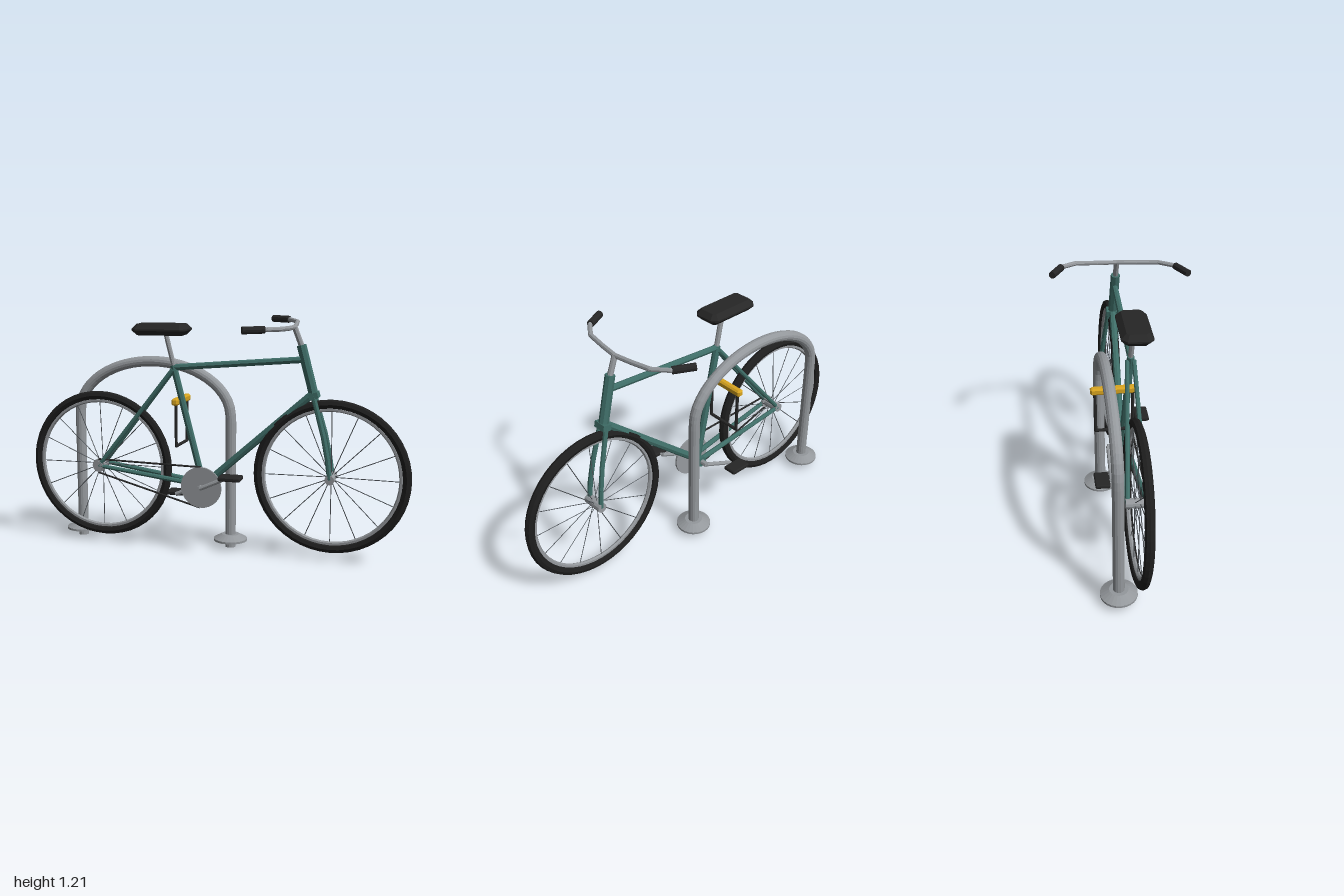
import * as THREE from 'three';

const mat = (color) => new THREE.MeshStandardMaterial({ color, flatShading: true });
const V = (x, y, z = 0) => new THREE.Vector3(x, y, z);

export function createModel() {
  const green = mat(0x3f6e68), steel = mat(0x94989c), dark = mat(0x262626), rubber = mat(0x1e1e1e);
  const yellow = mat(0xd9a520), spokeMat = mat(0x50555a);
  const model = new THREE.Group();
  const bike = new THREE.Group();
  bike.name = 'bicycle';

  const add = (parent, name, geometry, material, p = V(0, 0)) => {
    const mesh = new THREE.Mesh(geometry, material);
    mesh.name = name;
    mesh.position.copy(p);
    parent.add(mesh);
    return mesh;
  };
  // Straight bar between two points, r0 at the start and r1 at the end
  const bar = (parent, name, a, b, r0, material, r1 = r0, sides = 8) => {
    const d = b.clone().sub(a);
    const mesh = add(parent, name, new THREE.CylinderGeometry(r1, r0, d.length(), sides), material,
      a.clone().add(b).multiplyScalar(0.5));
    mesh.quaternion.setFromUnitVectors(V(0, 1), d.normalize());
    return mesh;
  };
  // Chain of bars with rounded joints
  const bentBar = (parent, name, points, r, material) => {
    const g = new THREE.Group();
    g.name = name;
    points.slice(1).forEach((p, i) => {
      bar(g, name + 'Section', points[i], p, r, material);
      if (i) add(g, name + 'Joint', new THREE.SphereGeometry(r, 8, 6), material, points[i]);
    });
    parent.add(g);
  };
  // Block with chamfered edges, overall size w x h x d
  const block = (w, h, d, c) => {
    const x = w / 2 - c, z = d / 2 - c, k = c * 0.5;
    const s = new THREE.Shape([[-x + k, -z], [x - k, -z], [x, -z + k], [x, z - k],
      [x - k, z], [-x + k, z], [-x, z - k], [-x, -z + k]].map((p) => new THREE.Vector2(...p)));
    return new THREE.ExtrudeGeometry(s, {
      depth: h - 2 * c, bevelEnabled: true, bevelSegments: 1, bevelSize: c, bevelThickness: c,
    }).translate(0, 0, c - h / 2).rotateX(-Math.PI / 2);
  };

  // Wheels
  const rearAxle = V(-0.61, 0.43), frontAxle = V(0.605, 0.43);
  for (const [name, centre] of [['rearWheel', rearAxle], ['frontWheel', frontAxle]]) {
    const wheel = new THREE.Group();
    wheel.name = name;
    wheel.position.copy(centre);
    add(wheel, 'tire', new THREE.TorusGeometry(0.367, 0.023, 8, 48), rubber);
    add(wheel, 'rim', new THREE.TorusGeometry(0.341, 0.011, 6, 48), steel);
    bar(wheel, 'hub', V(0, 0, -0.055), V(0, 0, 0.055), 0.024, steel, 0.024, 12);
    for (let i = 0; i < 16; i++) {
      const a = (i * Math.PI) / 8, s = i % 2 ? 1 : -1;
      bar(wheel, 'spoke', V(0.02 * Math.cos(a), 0.02 * Math.sin(a), s * 0.012),
        V(0.335 * Math.cos(a), 0.335 * Math.sin(a)), 0.0022, spokeMat, 0.0022, 4);
    }
    bike.add(wheel);
  }

  // Frame
  const crankCentre = V(-0.05, 0.348), seatTop = V(-0.2, 0.965);
  const headTop = V(0.452, 1.08), headLow = V(0.517, 0.83);
  bar(bike, 'seatTube', crankCentre, seatTop, 0.018, green);
  bar(bike, 'topTube', V(-0.198, 0.955), V(0.465, 1.01), 0.016, green);
  bar(bike, 'downTube', crankCentre, V(0.51, 0.845), 0.019, green);
  bar(bike, 'headTube', headLow, headTop, 0.024, green);
  bar(bike, 'bottomBracket', V(-0.05, 0.348, -0.04), V(-0.05, 0.348, 0.04), 0.028, green, 0.028, 12);
  for (const s of [1, -1]) {
    bar(bike, 'seatStay', V(-0.2, 0.945, s * 0.016), V(-0.61, 0.43, s * 0.045), 0.011, green);
    bar(bike, 'chainStay', V(-0.05, 0.355, s * 0.025), V(-0.61, 0.43, s * 0.045), 0.014, green, 0.011);
    bentBar(bike, 'forkBlade', [V(0.515, 0.84, s * 0.022), V(0.57, 0.64, s * 0.036),
      V(0.592, 0.53, s * 0.042), V(0.605, 0.43, s * 0.045)], 0.0125, green);
  }
  add(bike, 'forkCrown', new THREE.BoxGeometry(0.045, 0.03, 0.068), green, V(0.517, 0.838)).rotation.z = 0.25;

  // Saddle
  bar(bike, 'seatPost', V(-0.195, 0.95), V(-0.238, 1.13), 0.013, steel);
  add(bike, 'saddle', block(0.287, 0.056, 0.147, 0.024), dark, V(-0.258, 1.146));

  // Handlebar
  bar(bike, 'stem', V(0.455, 1.07), V(0.418, 1.165), 0.014, steel);
  const half = [V(0.407, 1.168, 0.1), V(0.392, 1.174, 0.21), V(0.34, 1.178, 0.285), V(0.27, 1.178, 0.325)];
  const mirrored = half.map((p) => V(p.x, p.y, -p.z)).reverse();
  bentBar(bike, 'handlebar', [...mirrored, V(0.418, 1.165), ...half], 0.0115, steel);
  for (const s of [1, -1]) {
    bar(bike, 'grip', V(0.335, 1.178, s * 0.288), V(0.242, 1.178, s * 0.338), 0.018, dark, 0.018, 10);
  }

  // Drivetrain
  bar(bike, 'chainring', V(-0.05, 0.348, 0.04), V(-0.05, 0.348, 0.05), 0.107, steel, 0.107, 32);
  bar(bike, 'sprocket', V(-0.61, 0.43, 0.032), V(-0.61, 0.43, 0.048), 0.035, steel, 0.035, 16);
  bar(bike, 'crankAxle', V(-0.05, 0.348, -0.075), V(-0.05, 0.348, 0.075), 0.014, steel);
  bar(bike, 'chainTop', V(-0.61, 0.465, 0.045), V(-0.05, 0.455, 0.045), 0.005, dark);
  bar(bike, 'chainBottom', V(-0.61, 0.392, 0.045), V(-0.06, 0.241, 0.045), 0.005, dark);
  for (const s of [1, -1]) {
    const end = V(-0.05 + s * 0.175, 0.348 + s * 0.08, s * 0.07);
    bar(bike, 'crankArm', V(-0.05, 0.348, s * 0.07), end, 0.011, steel);
    bar(bike, 'pedalAxle', end, V(end.x, end.y, s * 0.12), 0.007, steel);
    add(bike, 'pedal', block(0.115, 0.022, 0.075, 0.005), dark, V(end.x, end.y, s * 0.118));
  }

  // The bicycle leans slightly
  bike.position.z = -0.048;
  bike.rotation.x = 0.042;
  model.add(bike);

  // Parking hoop
  const rack = new THREE.Group();
  rack.name = 'bikeRack';
  rack.position.set(-0.355, 0, -0.137);
  const path = new THREE.CurvePath();
  const arc = [];
  for (let i = 0; i <= 12; i++) {
    const a = Math.PI * (1 - i / 12);
    arc.push(V(0.422 * Math.cos(a), 0.69 + 0.28 * Math.sin(a)));
  }
  path.add(new THREE.LineCurve3(V(-0.422, 0), arc[0]));
  path.add(new THREE.CatmullRomCurve3(arc));
  path.add(new THREE.LineCurve3(arc[12], V(0.422, 0)));
  add(rack, 'hoop', new THREE.TubeGeometry(path, 64, 0.0275, 14), steel);
  for (const s of [1, -1]) {
    const p = V(s * 0.422, 0);
    const profile = [[0, 0.036], [0.088, 0.036], [0.088, 0.047], [0.045, 0.07], [0, 0.07]];
    add(rack, 'baseFlange', new THREE.LatheGeometry(profile.map((q) => new THREE.Vector2(...q)), 24), steel, p);
    add(rack, 'legEnd', new THREE.CylinderGeometry(0.0275, 0.0275, 0.03, 14), steel, V(p.x, 0.015));
  }
  model.add(rack);

  // Shackle lock around the hoop and the frame
  const lock = new THREE.Group();
  lock.name = 'lock';
  add(lock, 'lockBody', block(0.036, 0.036, 0.226, 0.008), yellow, V(-0.186, 0.78, -0.087));
  bentBar(lock, 'shackle', [V(-0.184, 0.77, -0.177), V(-0.184, 0.552, -0.177),
    V(-0.184, 0.552, 0.004), V(-0.184, 0.77, 0.004)], 0.008, dark);
  model.add(lock);

  return model;
}
